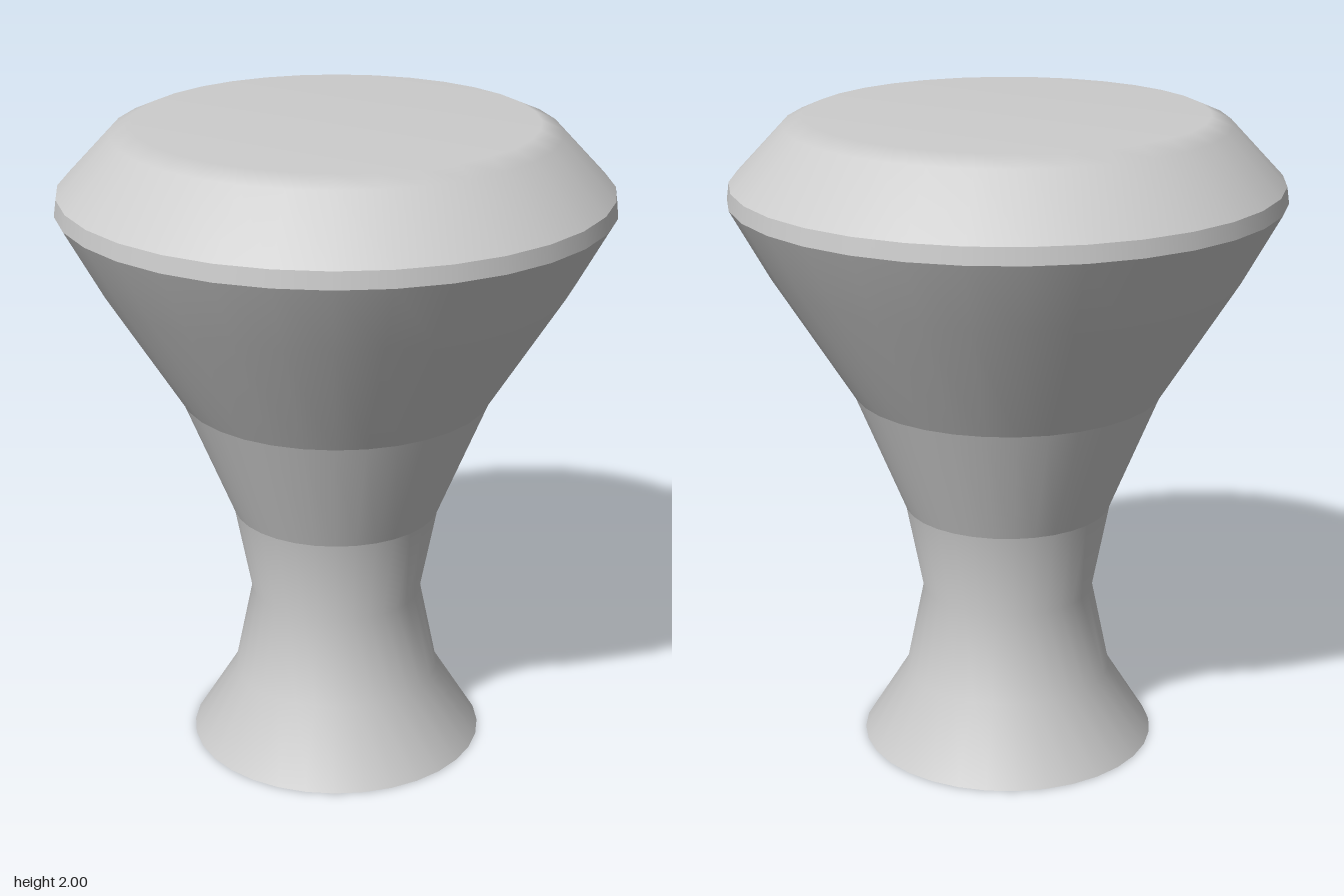
import * as THREE from 'three';

const SIDES = 32;

// Smooth turned band; separate bands meet in a sharp crease.
function band(name, profile, material) {
  const points = profile.map(([r, y]) => new THREE.Vector2(r, y));
  const mesh = new THREE.Mesh(new THREE.LatheGeometry(points, SIDES), material);
  mesh.name = name;
  return mesh;
}

export function createModel() {
  const grey = new THREE.MeshStandardMaterial({ color: 0xcccccc, side: THREE.DoubleSide });
  grey.name = 'light grey';

  const stool = new THREE.Group();
  stool.name = 'stool';
  stool.add(
    // hollow flared foot, open underneath
    band('foot', [[0.46, 0], [0.324, 0.22], [0.267, 0.497], [0.32, 0.773]], grey),
    // widening body
    band('lowerBody', [[0.32, 0.773], [0.474, 1.15]], grey),
    band('upperBody', [[0.474, 1.15], [0.718, 1.54], [0.833, 1.75]], grey),
    // narrow rim and bevelled seat
    band('rim', [[0.833, 1.75], [0.826, 1.8]], grey),
    band('seat', [[0.826, 1.8], [0.664, 1.972], [0.6, 2], [0, 2]], grey),
  );
  return stool;
}
